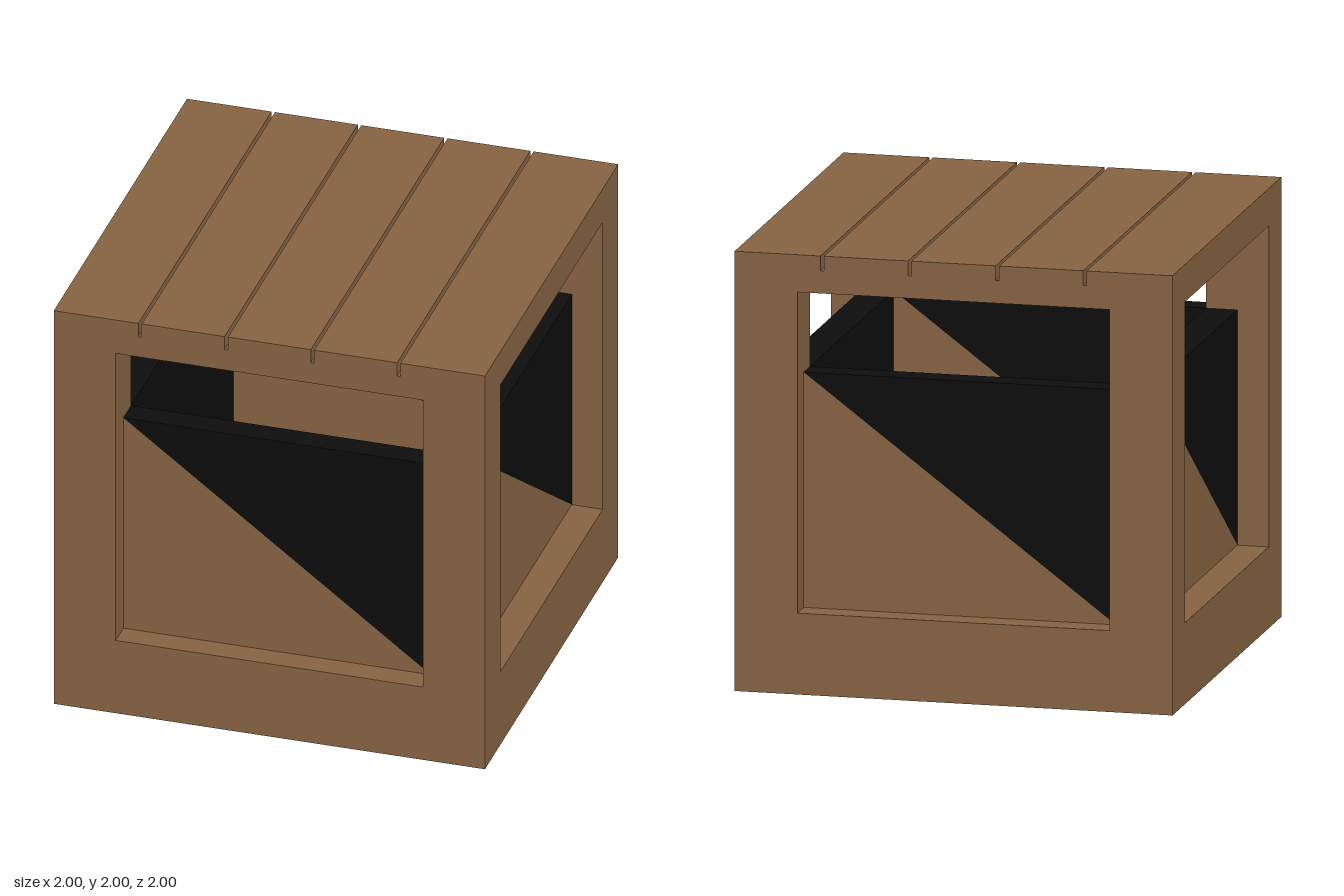
import * as THREE from 'three';

const wood = new THREE.MeshStandardMaterial({ color: 0x866343 });
wood.name = 'wood';
const black = new THREE.MeshStandardMaterial({ color: 0x0d0d0d });
black.name = 'black';

// Opening limits: half widths on the front and side faces, and heights
const OX = 0.713, OZ = 0.767, SILL = 0.37, PANEL_TOP = 1.44, LINTEL = 1.83;

function add(parent, name, geometry, material, x = 0, y = 0, z = 0) {
  const mesh = new THREE.Mesh(geometry, material);
  mesh.name = name;
  mesh.position.set(x, y, z);
  parent.add(mesh);
  return mesh;
}

function triangle(points) {
  return new THREE.ShapeGeometry(new THREE.Shape(points.map(([x, y]) => new THREE.Vector2(x, y))));
}

// Infill panel, split diagonally into wood and black on both faces, with a black top edge
function makePanel(name, width, thickness) {
  const panel = new THREE.Group();
  panel.name = name;
  const w = width / 2;
  const lower = triangle([[-w, SILL], [w, SILL], [-w, PANEL_TOP]]);
  const upper = triangle([[w, SILL], [w, PANEL_TOP], [-w, PANEL_TOP]]);
  for (const [label, turn] of [['Outer', 0], ['Inner', Math.PI]]) {
    const face = new THREE.Group();
    face.name = name + label + 'Face';
    face.rotation.y = turn;
    add(face, 'woodHalf', lower, wood, 0, 0, thickness / 2);
    add(face, 'blackHalf', upper, black, 0, 0, thickness / 2);
    panel.add(face);
  }
  const edge = new THREE.PlaneGeometry(width, thickness).rotateX(-Math.PI / 2);
  add(panel, 'topEdge', edge, black, 0, PANEL_TOP, 0);
  return panel;
}

export function createModel() {
  const model = new THREE.Group();
  model.name = 'crate';

  // Solid base
  add(model, 'base', new THREE.BoxGeometry(2, SILL, 2), wood, 0, SILL / 2, 0);

  // Four corner posts
  const px = 1 - OX, pz = 1 - OZ, ph = LINTEL - SILL;
  for (const sx of [-1, 1]) {
    for (const sz of [-1, 1]) {
      add(model, 'cornerPost', new THREE.BoxGeometry(px, ph, pz), wood,
        sx * (1 - px / 2), SILL + ph / 2, sz * (1 - pz / 2));
    }
  }

  // Lid with four narrow grooves running front to back
  const lid = new THREE.Shape();
  lid.moveTo(-1, LINTEL);
  lid.lineTo(1, LINTEL);
  lid.lineTo(1, 2);
  const g = 0.008, floor = 1.933;
  for (const x of [0.6, 0.2, -0.2, -0.6]) {
    lid.lineTo(x + g, 2);
    lid.lineTo(x + g, floor);
    lid.lineTo(x - g, floor);
    lid.lineTo(x - g, 2);
  }
  lid.lineTo(-1, 2);
  lid.closePath();
  add(model, 'groovedLid', new THREE.ExtrudeGeometry(lid, { depth: 2, bevelEnabled: false }), wood, 0, 0, -1);

  // Panels fill the inner half of each wall's thickness
  ['frontPanel', 'leftPanel', 'backPanel', 'rightPanel'].forEach((name, i) => {
    const side = i % 2 === 1;
    const thickness = (side ? px : pz) / 2;
    const panel = makePanel(name, 2 * (side ? OZ : OX), thickness);
    const distance = (side ? OX : OZ) + thickness / 2;
    panel.rotation.y = i * Math.PI / 2;
    panel.position.set(Math.sin(panel.rotation.y) * distance, 0, Math.cos(panel.rotation.y) * distance);
    model.add(panel);
  });

  return model;
}
